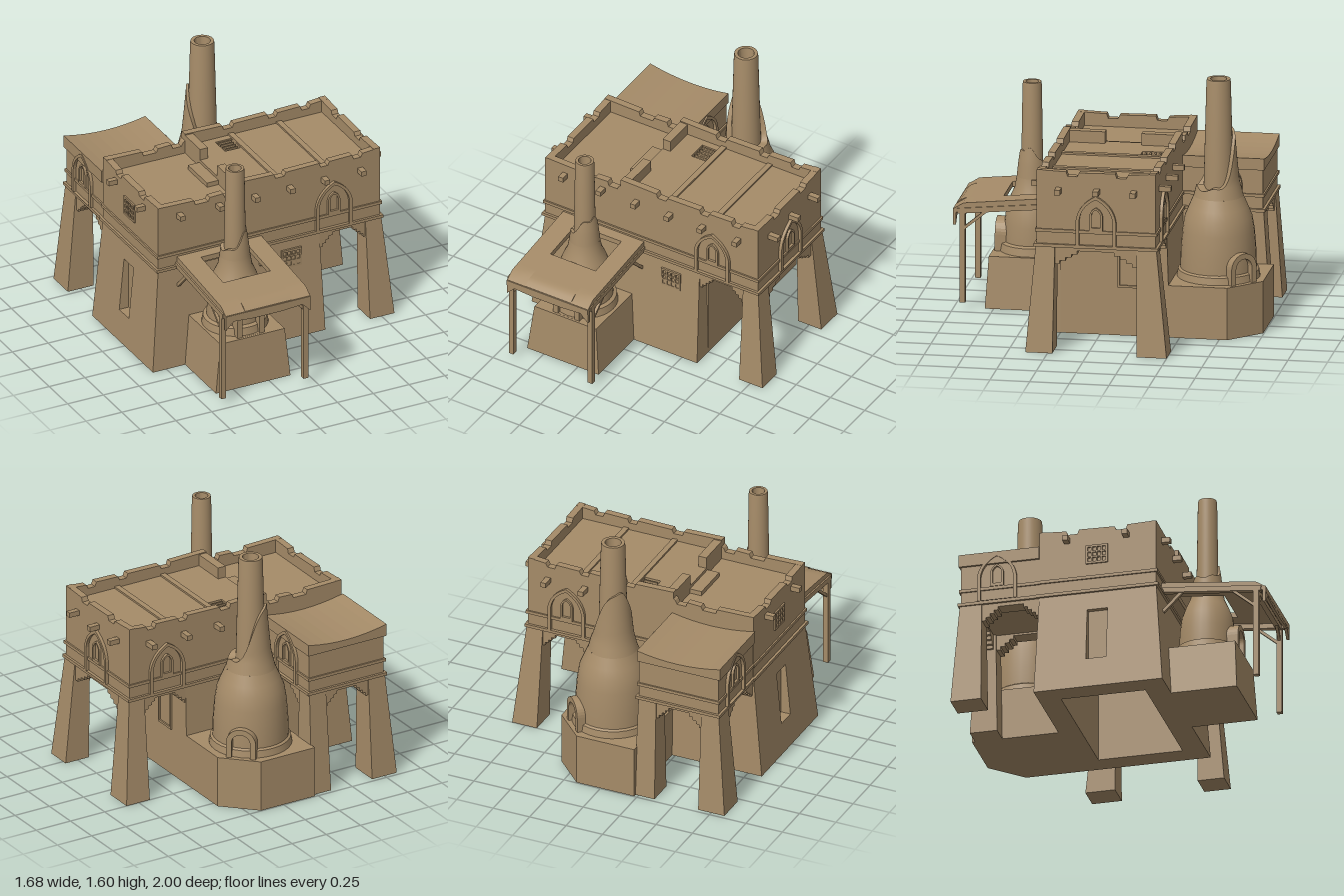
import * as THREE from 'three';
import { toCreasedNormals } from 'three/addons/utils/BufferGeometryUtils.js';

const clay = new THREE.MeshStandardMaterial({ color: 0xa58b68, side: THREE.DoubleSide });
clay.name = 'clay';
const H = Math.PI / 2;

function add(parent, name, geo, x = 0, y = 0, z = 0, ry = 0) {
  const m = new THREE.Mesh(geo, clay);
  m.name = name;
  m.position.set(x, y, z);
  m.rotation.y = ry;
  parent.add(m);
  return m;
}
// Box given by its limits
function box(p, name, x0, x1, y0, y1, z0, z1) {
  return add(p, name, new THREE.BoxGeometry(x1 - x0, y1 - y0, z1 - z0), (x0 + x1) / 2, (y0 + y1) / 2, (z0 + z1) / 2);
}
// Tapered block: b and t are [x0, x1, z0, z1] at the bottom and top
function taper(p, name, y0, y1, b, t) {
  const g = new THREE.BoxGeometry(1, 1, 1), a = g.attributes.position;
  for (let i = 0; i < a.count; i++) {
    const r = a.getY(i) > 0 ? t : b;
    a.setXYZ(i, r[a.getX(i) > 0 ? 1 : 0], a.getY(i) > 0 ? y1 : y0, r[a.getZ(i) > 0 ? 3 : 2]);
  }
  g.computeVertexNormals();
  return add(p, name, g);
}
// Square bar between two points
function bar(p, name, a, b, w) {
  const A = new THREE.Vector3(...a), B = new THREE.Vector3(...b);
  const m = add(p, name, new THREE.BoxGeometry(w, w, A.distanceTo(B)));
  m.position.copy(A).add(B).multiplyScalar(0.5);
  m.lookAt(B);
  return m;
}
const shapeOf = pts => new THREE.Shape(pts.map(q => new THREE.Vector2(...q)));
const extrude = (s, depth) => new THREE.ExtrudeGeometry(s, { depth, bevelEnabled: false, curveSegments: 8 });

// Arch outline, half width w, height h; pointed or round
function archPath(w, h, pointed, y0 = 0, P = THREE.Shape) {
  const s = new P();
  s.moveTo(-w, y0);
  s.lineTo(w, y0);
  if (pointed) {
    const k = h - w * 1.3;
    s.lineTo(w, k);
    s.quadraticCurveTo(w * 0.9, k + w * 0.85, 0, h);
    s.quadraticCurveTo(-w * 0.9, k + w * 0.85, -w, k);
  } else {
    s.lineTo(w, h - w);
    s.absarc(0, h - w, w, 0, Math.PI, false);
  }
  s.lineTo(-w, y0);
  return s;
}
function archRing(w, h, t, pointed, depth, base = 0) {
  const s = archPath(w, h, pointed);
  s.holes.push(archPath(w - t, h - t, pointed, base || 0.001, THREE.Path));
  return extrude(s, depth);
}
function archWindow(p, x, z, ry) {
  const g = new THREE.Group();
  g.name = 'archedWindow';
  add(g, 'outerArch', archRing(0.127, 0.32, 0.022, true, 0.025), 0, 0.69, -0.005);
  add(g, 'innerArch', archRing(0.042, 0.15, 0.014, true, 0.018, 0.02), 0, 0.785, -0.003);
  g.position.set(x, 0, z);
  g.rotation.y = ry;
  p.add(g);
}
// Lattice: plate with a grid of square holes
function lattice(p, x, y, z, ry) {
  const w = 0.07, h = 0.063, s = shapeOf([[-w, -h], [w, -h], [w, h], [-w, h]]);
  for (let i = 0; i < 4; i++) for (let j = 0; j < 3; j++) {
    const cx = (i - 1.5) * 0.031, cy = (j - 1) * 0.036, a = 0.011, b = 0.013;
    s.holes.push(new THREE.Path([[-a, -b], [-a, b], [a, b], [a, -b]].map(q => new THREE.Vector2(cx + q[0], cy + q[1]))));
  }
  add(p, 'latticeWindow', extrude(s, 0.015), x, y, z, ry);
}
// Stepped lintel over an opening of width w
function lintel(p, w, x, z, ry) {
  const e = w / 2, pts = [[-e, 0.68], [-e, 0.56]], n = 4, L = [];
  for (let i = 0; i < n; i++) {
    const a = e - w * 0.07 * (i + 1);
    L.push([a, 0.56 + i * 0.022], [a, 0.56 + (i + 1) * 0.022]);
  }
  L.forEach(q => pts.push([-q[0], q[1]]));
  [...L].reverse().forEach(q => pts.push(q));
  pts.push([e, 0.56], [e, 0.68]);
  add(p, 'steppedLintel', extrude(shapeOf(pts), 0.1), x, 0, z, ry);
}
// Parapet strip of length L with worn notches at the given offsets
function parapet(p, L, top, notches, x, z, ry) {
  const pts = [[-L / 2, 1], [-L / 2, top]];
  notches.forEach(([c, w]) => pts.push([c - w / 2 - 0.01, top - 0.006], [c - w / 2, top - 0.035],
    [c + w / 2, top - 0.035], [c + w / 2 + 0.012, top - 0.01]));
  pts.push([L / 2, top], [L / 2, 1]);
  add(p, 'parapet', extrude(shapeOf(pts), 0.045), x, 0, z, ry);
}
const lathe = pts => toCreasedNormals(new THREE.LatheGeometry(pts.map(q => new THREE.Vector2(...q)), 32), 0.6);

// Bottle kiln: ring, body, broken shell and chimney
function kiln(p, name, x, z, o) {
  const g = new THREE.Group();
  g.name = name;
  g.position.set(x, 0, z);
  p.add(g);
  const radius = y => {
    const P = o.body;
    for (let i = 1; i < P.length; i++) if (y <= P[i][1])
      return THREE.MathUtils.mapLinear(y, P[i - 1][1], P[i][1], P[i - 1][0], P[i][0]);
    return P[P.length - 1][0];
  };
  add(g, 'footRing', lathe([[0, 0.32], [o.foot, 0.32], [o.foot - 0.01, 0.38], [o.body[0][0], 0.39]]));
  const low = o.body.filter(q => q[1] <= o.low);
  add(g, 'body', lathe([[o.body[0][0], 0.33], ...low]));
  // Shell rim climbs towards one side and ends in a step
  const rows = Array.from({ length: 9 }, (_, i) => new THREE.Vector2(1, i / 8));
  const sg = new THREE.LatheGeometry([...rows, new THREE.Vector2(0.5, 1)], 40), a = sg.attributes.position;
  for (let i = 0; i < a.count; i++) {
    const th = Math.atan2(a.getX(i), a.getZ(i));
    const d = Math.abs(Math.atan2(Math.sin(th - o.peak), Math.cos(th - o.peak)));
    const k = 1 - THREE.MathUtils.smoothstep(d, 0.3, 2.2);
    const y = low[low.length - 1][1] + a.getY(i) * (0.06 + (o.high - o.low - 0.06) * k + 0.012 * Math.sin(th * 5));
    const inner = Math.hypot(a.getX(i), a.getZ(i)) < 0.75;
    const r = inner ? o.neck[0][0] * 0.9 : radius(y);
    a.setXYZ(i, Math.sin(th) * r, y, Math.cos(th) * r);
  }
  add(g, 'brokenShell', toCreasedNormals(sg, 0.6));
  const [r1, y1] = o.neck[1];
  add(g, 'chimney', lathe([o.neck[0], [r1 + 0.003, y1 - 0.02], [r1, y1], [r1 * 0.7, y1], [r1 * 0.6, y1 - 0.1], [0, y1 - 0.1]]));
  const mouth = add(g, 'fireMouth', archRing(0.095, 0.2, 0.035, false, o.foot - 0.09), 0, 0.33, 0, o.face);
  mouth.position.set(Math.sin(o.face) * 0.1, 0.33, Math.cos(o.face) * 0.1);
}

export function createModel() {
  const g = new THREE.Group();
  g.name = 'potteryWorkshop';

  // Ground room: hollow, with sloping outer walls
  const W = y => -0.845 + 0.065 * y / 0.68;
  taper(g, 'frontWall', 0, 0.68, [-0.845, 0.36, 0.24, 0.385], [-0.78, 0.345, 0.24, 0.33]);
  taper(g, 'backWall', 0, 0.68, [-0.845, 0.36, -0.44, -0.3], [-0.78, 0.36, -0.42, -0.3]);
  box(g, 'innerWall', 0.22, 0.36, 0, 0.68, -0.32, 0.25);
  const side = (y0, y1, z0, z1) => taper(g, 'sideWall', y0, y1, [W(y0), -0.7, z0, z1], [W(y1), -0.7, z0, z1]);
  side(0, 0.68, -0.31, -0.11);
  side(0, 0.68, 0.02, 0.25);
  side(0, 0.2, -0.11, 0.02);
  side(0.55, 0.68, -0.11, 0.02);
  box(g, 'nichePanel', -0.76, -0.7, 0.2, 0.55, -0.11, 0.02);
  const door = shapeOf([[-0.075, 0.31], [0.075, 0.31], [0.075, 0.61], [-0.075, 0.61]]);
  door.holes.push(new THREE.Path([[-0.06, 0.325], [-0.06, 0.595], [0.06, 0.595], [0.06, 0.325]].map(q => new THREE.Vector2(...q))));
  add(g, 'doorFrame', extrude(door, 0.015), 0.355, 0, -0.185, H);
  lattice(g, 0.145, 0.545, 0.333, 0);
  lattice(g, -0.775, 0.93, -0.05, -H);

  // Legs under the overhanging storeys
  taper(g, 'leg', 0, 0.68, [0.67, 0.84, 0.22, 0.39], [0.665, 0.775, 0.215, 0.335]);
  taper(g, 'leg', 0, 0.68, [0.67, 0.84, -0.5, -0.31], [0.665, 0.775, -0.425, -0.3]);
  taper(g, 'leg', 0, 0.68, [-0.84, -0.66, -0.975, -0.78], [-0.78, -0.66, -0.93, -0.79]);
  taper(g, 'leg', 0, 0.68, [-0.36, -0.22, -0.975, -0.8], [-0.35, -0.23, -0.93, -0.81]);
  lintel(g, 0.33, 0.51, 0.23, 0);
  lintel(g, 0.33, 0.51, -0.42, 0);
  lintel(g, 0.53, 0.67, -0.042, H);
  lintel(g, 0.37, -0.775, -0.605, H);
  lintel(g, 0.32, -0.505, -0.925, 0);
  lintel(g, 0.39, -0.335, -0.615, H);

  // Upper storey and roofs
  box(g, 'upperStoreyLow', -0.78, -0.23, 0.66, 1.03, -0.42, 0.33);
  box(g, 'upperStoreyHigh', -0.23, 0.77, 0.66, 1.04, -0.42, 0.33);
  const roof = shapeOf([[-0.23, -0.33], [0.77, -0.33], [0.77, 0.42], [-0.23, 0.42]]);
  roof.holes.push(new THREE.Path([[-0.04, 0.2], [-0.04, 0.33], [0.07, 0.33], [0.07, 0.2]].map(q => new THREE.Vector2(...q))));
  add(g, 'roofWithHatch', extrude(roof, 0.04), 0, 1.04, 0).rotation.x = -H;
  for (let i = 0; i < 4; i++) box(g, 'hatchRung', -0.03, 0.06, 1.065, 1.078, -0.32 + i * 0.03, -0.31 + i * 0.03);
  for (const x of [0.09, 0.425]) box(g, 'roofRidge', x - 0.018, x + 0.018, 1.07, 1.092, -0.38, 0.29);
  box(g, 'roofStep', -0.31, -0.22, 1.02, 1.06, -0.18, 0.08);
  box(g, 'dividerWall', -0.23, -0.175, 1, 1.155, -0.42, -0.17);
  box(g, 'dividerWall', -0.23, -0.175, 1, 1.155, 0.06, 0.33);
  for (const z of [0.285, -0.42]) {
    parapet(g, 1, 1.163, [[-0.2, 0.06], [0.11, 0.05], [0.34, 0.05]], 0.27, z, 0);
    parapet(g, 0.55, 1.118, [[0.03, 0.09], [0.22, 0.06]], -0.505, z, 0);
  }
  parapet(g, 0.75, 1.163, [[-0.15, 0.06], [0.16, 0.06]], 0.725, -0.045, H);
  parapet(g, 0.75, 1.118, [[-0.15, 0.06], [0.16, 0.06]], -0.78, -0.045, H);

  // Rear annex with a sagging roof
  box(g, 'annex', -0.775, -0.23, 0.66, 0.96, -0.925, -0.4);
  const sag = new THREE.Shape();
  sag.moveTo(-0.79, 0.94);
  sag.lineTo(-0.22, 0.94);
  sag.lineTo(-0.22, 1.015);
  sag.quadraticCurveTo(-0.5, 0.955, -0.79, 1.02);
  add(g, 'annexRoof', extrude(sag, 0.515), 0, 0, -0.935);

  // Cornice bands
  for (const y of [0.68, 0.775]) {
    const e = y < 0.7 ? 0.016 : 0.01;
    box(g, 'cornice', -0.78 - e, 0.77 + e, y - 0.01, y + 0.01, -0.42 - e, 0.33 + e);
    box(g, 'annexCornice', -0.775 - e, -0.23 + e, y - 0.01, y + 0.01, -0.925 - e, -0.42);
  }

  // Beam ends
  const peg = (x, z, a, b) => box(g, 'beamEnd', x - a, x + a, 1.022, 1.055, z - b, z + b);
  for (const x of [-0.635, -0.36, -0.11, 0.135, 0.375, 0.63]) peg(x, 0.345, 0.018, 0.04);
  for (const x of [0.135, 0.375, 0.63]) peg(x, -0.45, 0.018, 0.045);
  for (const z of [0.19, -0.05, -0.285]) peg(0.79, z, 0.05, 0.018);
  for (const z of [0.14, -0.24]) peg(-0.795, z, 0.045, 0.018);

  archWindow(g, 0.443, 0.33, 0);
  archWindow(g, 0.77, -0.045, H);
  archWindow(g, 0.5, -0.42, Math.PI);
  archWindow(g, -0.775, -0.69, -H);
  archWindow(g, -0.23, -0.67, H);

  // Large kiln on a chamfered base
  const base = shapeOf([[-0.23, 0.42], [0.36, 0.42], [0.36, 0.8], [0.165, 0.995], [-0.23, 0.995]]);
  add(g, 'largeKilnBase', extrude(base, 0.335)).rotation.x = -H;
  kiln(g, 'largeKiln', 0.055, -0.695, {
    foot: 0.262, low: 0.85, high: 1.27, peak: -2.4, face: 2.36,
    body: [[0.238, 0.385], [0.235, 0.5], [0.225, 0.63], [0.21, 0.72], [0.185, 0.78], [0.155, 0.85], [0.13, 0.95], [0.115, 1.1], [0.1, 1.28]],
    neck: [[0.096, 0.8], [0.073, 1.6]],
  });

  // Small kiln on a block
  taper(g, 'smallKilnBase', 0, 0.33, [-0.62, -0.1, 0.3, 0.805], [-0.58, -0.13, 0.3, 0.785]);
  kiln(g, 'smallKiln', -0.357, 0.55, {
    foot: 0.21, low: 0.8, high: 0.985, peak: 1.2, face: 0,
    body: [[0.178, 0.385], [0.172, 0.5], [0.16, 0.6], [0.135, 0.67], [0.108, 0.73], [0.096, 0.8], [0.085, 0.9], [0.07, 1]],
    neck: [[0.07, 0.75], [0.057, 1.41]],
  });

  // Canopy: sloping cloth around a square hole, rounded at the front
  const cloth = (x0, x1, z0, z1) => {
    const geo = new THREE.BoxGeometry(x1 - x0, 0.035, z1 - z0, 1, 1, 10), a = geo.attributes.position;
    geo.translate((x0 + x1) / 2, 0, (z0 + z1) / 2);
    for (let i = 0; i < a.count; i++) {
      const z = a.getZ(i), f = Math.max(0, (z - 0.93) / 0.07);
      a.setY(i, a.getY(i) + 0.73 - 0.1 * (z - 0.33) - 0.035 * f * f);
    }
    geo.computeVertexNormals();
    add(g, 'canopyCloth', geo);
  };
  cloth(-0.65, -0.515, 0.33, 1);
  cloth(-0.185, -0.06, 0.33, 1);
  cloth(-0.515, -0.185, 0.33, 0.395);
  cloth(-0.515, -0.185, 0.7, 1);
  add(g, 'canopyValance', extrude(shapeOf([[-0.295, 0.65], [-0.295, 0.545], [-0.24, 0.6], [-0.1, 0.59], [0.1, 0.59], [0.24, 0.6], [0.295, 0.545], [0.295, 0.65]]), 0.018), -0.355, 0, 0.98);
  box(g, 'canopyBeam', -0.65, -0.06, 0.605, 0.635, 0.922, 0.955);
  for (const s of [-1, 1]) {
    const x = -0.357 + s * 0.287;
    box(g, 'canopyPost', x - 0.017, x + 0.017, 0.045, 0.64, 0.922, 0.957);
    bar(g, 'canopyRafter', [x, 0.695, 0.33], [x, 0.635, 0.97], 0.034);
    bar(g, 'sideBrace', [x, 0.52, 0.935], [x, 0.64, 0.79], 0.018);
    bar(g, 'frontBrace', [x, 0.53, 0.94], [x - s * 0.09, 0.62, 0.94], 0.018);
    bar(g, 'wallBrace', [x, 0.55, 0.34], [x, 0.67, 0.46], 0.02);
  }
  return g;
}
